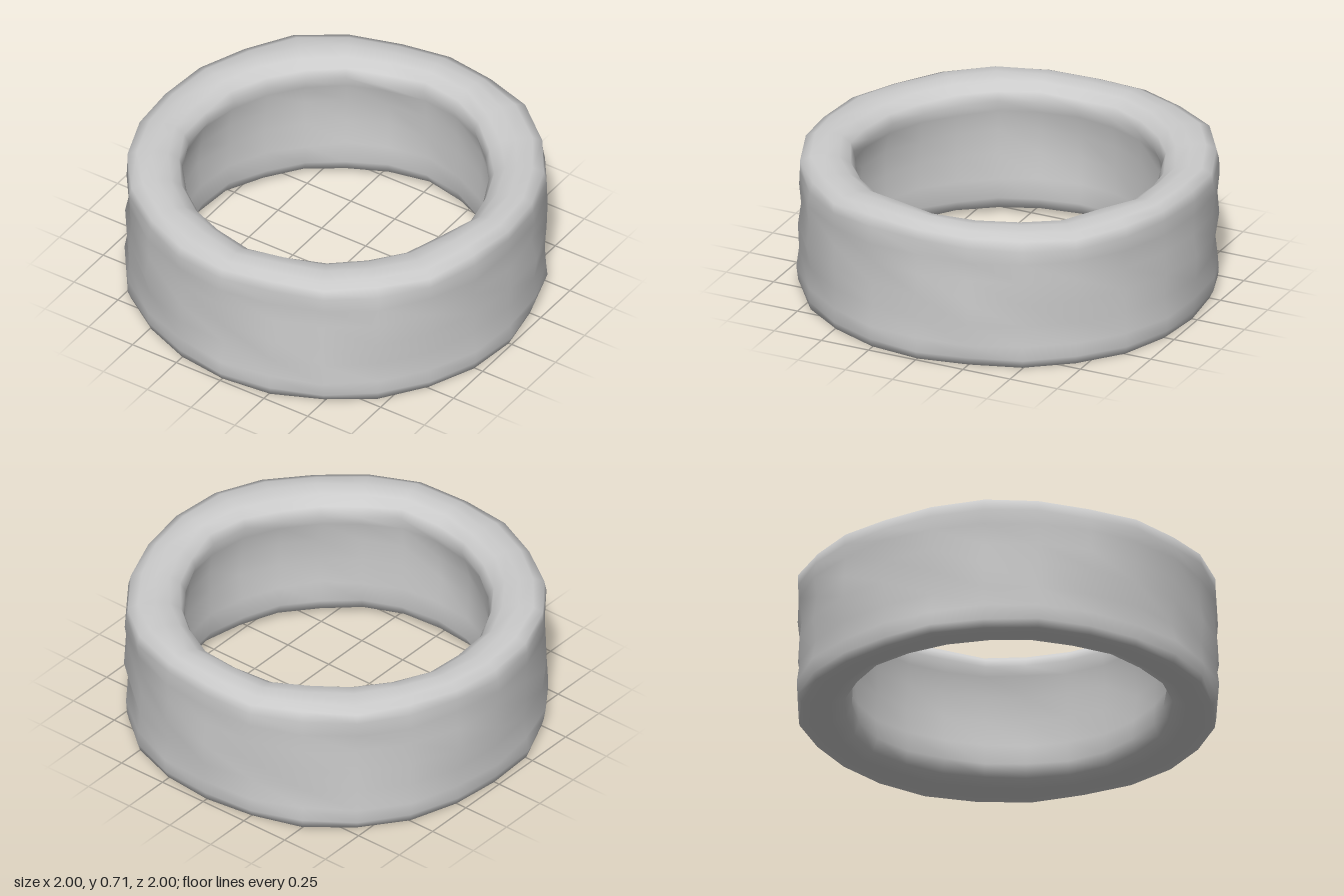
import * as THREE from 'three';
import { mergeVertices } from 'three/addons/utils/BufferGeometryUtils.js';

const SIDES = 24;

// closed cross-section: up the outside, over the rim, under its lip, down the hollowed inside
const PROFILE = [
  [0.985, 0.01], [0.998, 0.05], [1.0, 0.12], [0.988, 0.22], [1.0, 0.34], [0.988, 0.45],
  [0.998, 0.55], [0.995, 0.62], [0.988, 0.672], [0.94, 0.694], [0.87, 0.702], [0.805, 0.69],
  [0.755, 0.655], [0.733, 0.61], [0.752, 0.555], [0.766, 0.45], [0.772, 0.33], [0.765, 0.2],
  [0.757, 0.1], [0.785, 0.04], [0.85, 0.016], [0.92, 0.01], [0.985, 0.01],
].map(([r, y]) => new THREE.Vector2(r, y));

// repeatable bumps that wrap around the ring
function bump(angle, y, phase) {
  return 0.5 * Math.sin(5 * angle + 9 * y + phase)
    + 0.4 * Math.sin(9 * angle - 14 * y + 2 * phase)
    + 0.4 * Math.sin(11 * angle + 31 * y);
}

// 1 at the given angle, fading to 0 within the width
function spot(angle, centre, width) {
  return Math.max(0, 1 - Math.abs(angle - centre) / width);
}

function roughRing() {
  let geometry = new THREE.LatheGeometry(PROFILE, SIDES);
  geometry.deleteAttribute('uv');
  geometry.deleteAttribute('normal');
  geometry = mergeVertices(geometry, 1e-4);

  const p = geometry.attributes.position;
  for (let i = 0; i < p.count; i++) {
    const x = p.getX(i), y = p.getY(i), z = p.getZ(i);
    const angle = Math.atan2(z, x);
    const radius = Math.hypot(x, z);
    const side = THREE.MathUtils.clamp((radius - 0.87) / 0.1, -1, 1);

    // wall slightly thicker on the diagonals, with hand-worked unevenness
    const r = radius - side * 0.008 * Math.cos(4 * angle)
      + 0.011 * bump(angle, y, side > 0 ? 0.4 : 2.1);

    // wavy rim with one raised fold and one notch
    let lift = 0;
    if (y > 0.6) {
      lift = 0.009 * bump(angle, 0, 1.3)
        + 0.025 * spot(angle, 0.2, 0.25) - 0.015 * spot(angle, -0.78, 0.25);
    }
    p.setXYZ(i, r * Math.cos(angle), y + lift, r * Math.sin(angle));
  }
  geometry.computeVertexNormals();
  return geometry;
}

export function createModel() {
  const group = new THREE.Group();
  group.name = 'roughRing';
  const ring = new THREE.Mesh(roughRing(), new THREE.MeshStandardMaterial({ color: 0xcccccc }));
  ring.name = 'ringWall';
  group.add(ring);
  return group;
}
